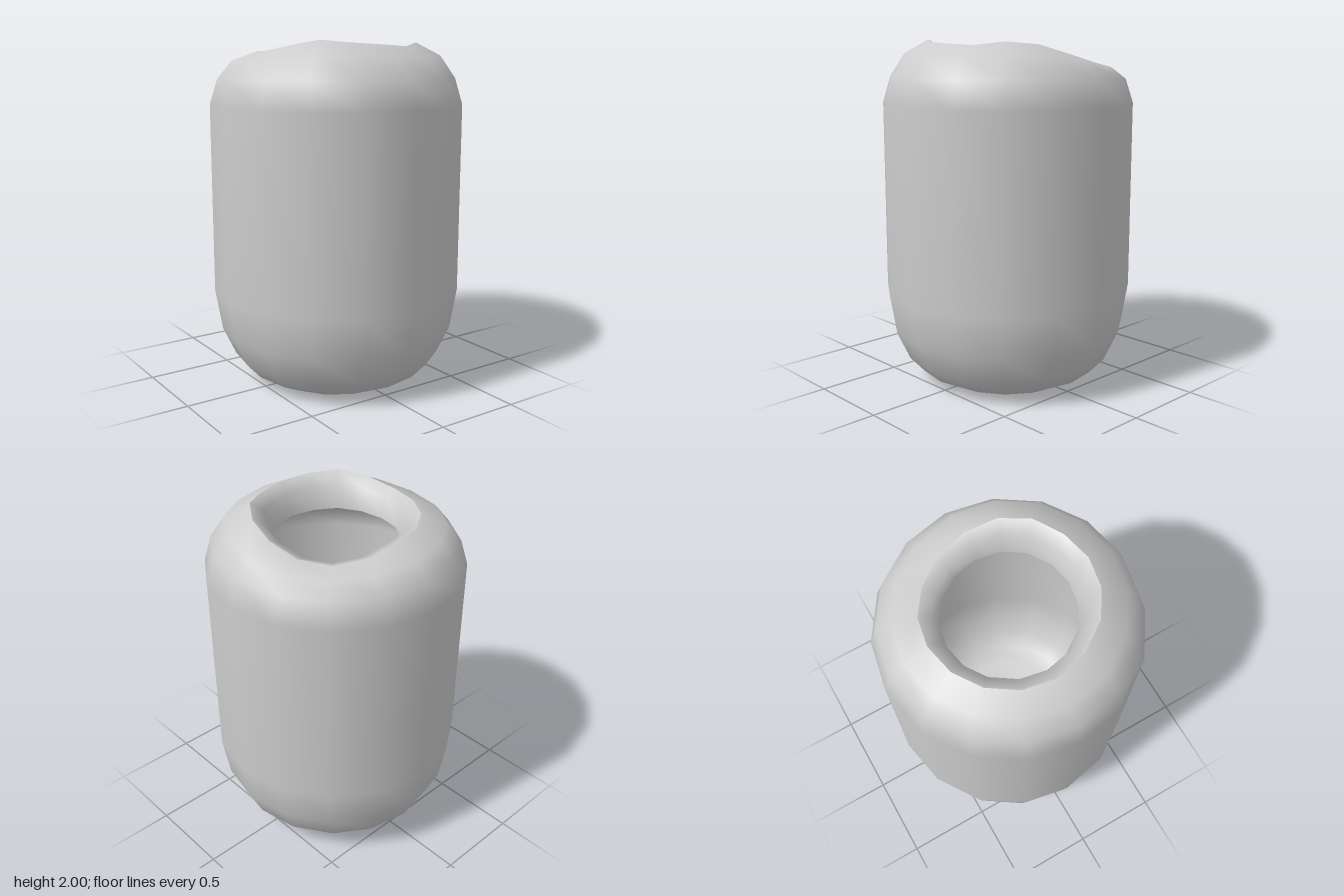
import * as THREE from 'three';
import { mergeVertices } from 'three/addons/utils/BufferGeometryUtils.js';

const SIDES = 16;
const MEAN = 1.945;
// Height of the uneven rim at each side, starting at the front and turning towards +x
const RIM = [1.975, 1.965, 1.985, 1.97, 1.925, 1.875, 1.86, 1.885,
  1.93, 1.935, 1.935, 1.935, 1.94, 1.97, 2.0, 1.985];

// Smooth lathe whose rings follow the wavy rim; profile rows are [radius, height, wave weight]
function wavyLathe(profile) {
  const n = profile.length;
  const geo = new THREE.LatheGeometry(profile.map(([r, y]) => new THREE.Vector2(r, y)), SIDES);
  const pos = geo.attributes.position;
  for (let i = 0; i < pos.count; i++) {
    const side = Math.floor(i / n) % SIDES;
    const weight = profile[i % n][2] || 0;
    pos.setY(i, pos.getY(i) + weight * (RIM[side] - MEAN));
  }
  geo.deleteAttribute('normal');
  geo.deleteAttribute('uv');
  const merged = mergeVertices(geo, 1e-4);
  merged.computeVertexNormals();
  return merged;
}

export function createModel() {
  const group = new THREE.Group();
  group.name = 'vase';
  const material = new THREE.MeshStandardMaterial({ color: 0xcccccc });

  const add = (name, profile) => {
    const mesh = new THREE.Mesh(wavyLathe(profile), material);
    mesh.name = name;
    group.add(mesh);
  };

  // Outer wall: flat base, rounded foot, straight body, rounded shoulder
  add('outerWall', [
    [0, 0], [0.41, 0], [0.53, 0.06], [0.615, 0.15], [0.69, 0.31], [0.73, 0.55],
    [0.73, 1.64], [0.685, 1.785, 0.1], [0.6, 1.89, 0.55], [0.46, MEAN, 1],
  ]);

  // Lip sloping into the mouth
  add('lip', [[0.46, MEAN, 1], [0.39, 1.905, 0.8], [0.36, 1.79, 0.2]]);

  // Hollow inside, following the outer wall
  add('innerWall', [
    [0.36, 1.79, 0.2], [0.54, 1.75, 0.15], [0.63, 1.67], [0.665, 1.56],
    [0.665, 0.57], [0.63, 0.36], [0.56, 0.21], [0.48, 0.12], [0.38, 0.07], [0, 0.07],
  ]);

  return group;
}
